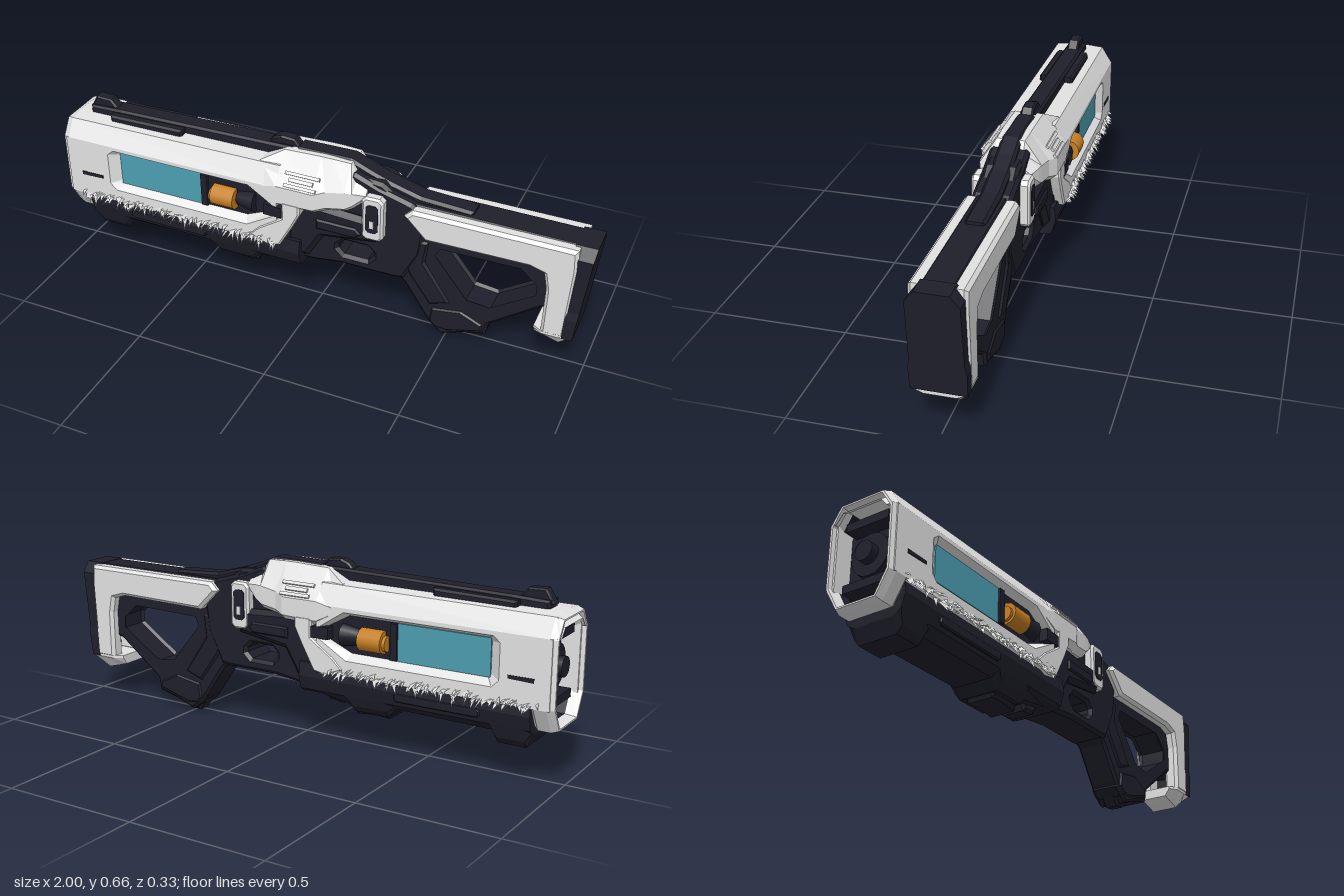
import * as THREE from 'three';

const mat = (name, color, side = THREE.FrontSide) => Object.assign(new THREE.MeshStandardMaterial({ color, side }), { name });

export function createModel() {
  const white = mat('pale shell', 0xe2e2e3, THREE.DoubleSide);
  const dark = mat('dark metal', 0x1f1f2b, THREE.DoubleSide);
  const teal = mat('teal glass', 0x4c9eb1);
  const orange = mat('orange cell', 0xc88022);
  const root = new THREE.Group();
  root.name = 'rifle';

  const add = (name, geo, m) => {
    const mesh = new THREE.Mesh(geo, m);
    mesh.name = name;
    root.add(mesh);
    return mesh;
  };
  const vecs = (pts) => pts.map(([a, b]) => new THREE.Vector2(a, b));

  // side profile (x, y) extruded from z0 to z1, bevelled inside its outline
  const slab = (name, m, pts, z0, z1, bevel = 0, holes = []) => {
    const shape = new THREE.Shape(vecs(pts));
    shape.holes = holes.map((h) => new THREE.Path(vecs(h)));
    const geo = new THREE.ExtrudeGeometry(shape, {
      depth: z1 - z0 - 2 * bevel, bevelEnabled: bevel > 0, bevelSize: bevel,
      bevelThickness: bevel, bevelOffset: -bevel, bevelSegments: 1, curveSegments: 6,
    });
    geo.translate(0, 0, z0 + bevel);
    return add(name, geo, m);
  };
  const mid = (name, m, pts, half, bevel, holes) => slab(name, m, pts, -half, half, bevel, holes);
  const pair = (name, m, pts, z0, z1, bevel, holes) => {
    slab(name + 'Left', m, pts, z0, z1, bevel, holes);
    slab(name + 'Right', m, pts, -z1, -z0, bevel, holes);
  };
  const rect = (x0, x1, y0, y1, c = 0) => c
    ? [[x0 + c, y0], [x1 - c, y0], [x1, y0 + c], [x1, y1 - c], [x1 - c, y1], [x0 + c, y1], [x0, y1 - c], [x0, y0 + c]]
    : [[x0, y0], [x1, y0], [x1, y1], [x0, y1]];

  // flat-sided skin through matching 3D loops
  const loft = (name, m, loops, caps = true) => {
    const out = [];
    const n = loops[0].length;
    const tri = (...p) => p.forEach((v) => out.push(...v));
    const centre = (l) => [0, 1, 2].map((k) => l.reduce((s, p) => s + p[k], 0) / n);
    const first = loops[0], last = loops[loops.length - 1];
    for (let i = 0; i < n; i++) {
      const j = (i + 1) % n;
      for (let s = 0; s + 1 < loops.length; s++) {
        const a = loops[s], b = loops[s + 1];
        tri(a[i], a[j], b[j]);
        tri(a[i], b[j], b[i]);
      }
      if (caps) {
        tri(centre(first), first[j], first[i]);
        tri(centre(last), last[i], last[j]);
      }
    }
    const geo = new THREE.BufferGeometry();
    geo.setAttribute('position', new THREE.Float32BufferAttribute(out, 3));
    geo.computeVertexNormals();
    return add(name, geo, m);
  };
  // mirrored cross-section at x from the [z, y] points of the left half, top first
  const section = (x, half) => [
    ...half.map(([z, y]) => [x, y, z]),
    ...half.slice().reverse().map(([z, y]) => [x, y, -z]),
  ];

  // barrel core inside the shell
  loft('barrelCore', dark, [-0.92, -0.08].map((x) => section(x, [[0.06, 0.56], [0.104, 0.5], [0.104, 0.3], [0.07, 0.22]])));

  // pale shell: pierced side walls and a chamfered roof
  const windowOuter = [[-0.81, 0.36], [-0.785, 0.335], [-0.24, 0.335], [-0.13, 0.4], [-0.13, 0.44], [-0.23, 0.505], [-0.785, 0.505], [-0.81, 0.485]];
  const windowInner = [[-0.77, 0.37], [-0.76, 0.358], [-0.25, 0.358], [-0.14, 0.405], [-0.14, 0.435], [-0.24, 0.49], [-0.76, 0.49], [-0.77, 0.478]];
  pair('shellWall', white, [[-0.985, 0.285], [-0.12, 0.28], [-0.12, 0.52], [-0.985, 0.52]], 0.106, 0.135, 0, [windowOuter]);
  for (const s of [1, -1]) {
    const frame = [windowOuter.map(([x, y]) => [x, y, 0.135 * s]), windowInner.map(([x, y]) => [x, y, 0.106 * s])];
    loft('windowFrame', white, s > 0 ? frame : frame.reverse(), false);
  }
  const roof = (y, z, w) => [[0.03, y + 0.006], [z, y], [w, 0.52], [w - 0.02, 0.515], [z - 0.01, y - 0.02]];
  loft('shellRoof', white, [[-1, roof(0.568, 0.085, 0.122)], [-0.975, roof(0.583, 0.095, 0.135)], [-0.12, roof(0.59, 0.095, 0.135)]]
    .map(([x, r]) => section(x, r)), false);

  // octagonal muzzle rim around a dark open mouth
  const oct = (x, k) => section(x, [[0.092, 0.583], [0.135, 0.52], [0.135, 0.285], [0.085, 0.2]]
    .map(([z, y]) => [z * k, 0.392 + (y - 0.392) * (k + (1 - k) * 0.5)]));
  loft('muzzleLining', dark, [oct(-0.905, 0.8), oct(-0.96, 0.8)], false);
  loft('muzzleRim', white, [oct(-0.96, 0.8), oct(-1, 0.86), oct(-1, 0.92), oct(-0.975, 1), oct(-0.93, 1), oct(-0.905, 0.82)], false);
  const disc = (name, r, x0, x1) => add(name, new THREE.CylinderGeometry(r, r, x1 - x0, 20).rotateZ(Math.PI / 2).translate((x0 + x1) / 2, 0.4, 0), dark);
  disc('muzzleBore', 0.075, -0.95, -0.9);
  disc('muzzleNozzle', 0.035, -0.98, -0.9);
  for (const y of [0.29, 0.51]) {
    add('muzzleBrace', new THREE.BoxGeometry(0.05, 0.03, 0.17).translate(-0.945, y, 0), dark);
  }

  // glass, energy cell and markings
  pair('glass', teal, rect(-0.77, -0.43, 0.358, 0.49), 0.104, 0.112);
  for (const s of [1, -1]) {
    const cell = add('energyCell', new THREE.CylinderGeometry(0.041, 0.041, 0.09, 12).rotateZ(Math.PI / 2), orange);
    cell.position.set(-0.335, 0.416, 0.109 * s);
    const cap = add('energyCellCap', new THREE.CylinderGeometry(0.028, 0.028, 0.1, 12).rotateZ(Math.PI / 2), orange);
    cap.position.set(-0.342, 0.412, 0.11 * s);
    const socket = add('cellSocket', new THREE.CylinderGeometry(0.028, 0.042, 0.07, 10).rotateZ(Math.PI / 2), dark);
    socket.position.set(-0.25, 0.42, 0.1 * s);
  }
  pair('cellClamp', dark, rect(-0.43, -0.405, 0.36, 0.488), 0.1, 0.12);
  pair('windowChannel', dark, [[-0.17, 0.4], [-0.1, 0.4], [-0.1, 0.44], [-0.17, 0.445]], 0.1, 0.138);
  pair('shellMark', dark, [[-0.93, 0.37], [-0.84, 0.373], [-0.84, 0.385], [-0.93, 0.385]], 0.132, 0.137);

  // lower forend with a tapering belly
  const belly = (x, bottom) => section(x, [[0.115, 0.3], [0.122, 0.25], [0.108, 0.2], [0.095, Math.min(0.19, bottom + 0.025)], [0.075, bottom]]);
  loft('forend', dark, [belly(-0.915, 0.18), belly(-0.89, 0.13), belly(-0.79, 0.13), belly(-0.77, 0.17), belly(-0.41, 0.175),
    belly(-0.38, 0.14), belly(-0.25, 0.14), belly(-0.22, 0.165), belly(-0.1, 0.185), belly(-0.04, 0.188)]);
  pair('forendRail', dark, rect(-0.74, -0.42, 0.215, 0.25, 0.01), 0.1, 0.122, 0.005);
  mid('forendFoot', dark, [[-0.39, 0.17], [-0.37, 0.125], [-0.32, 0.13], [-0.24, 0.122], [-0.23, 0.17]], 0.06, 0.012);
  mid('forendStep', dark, [[-0.2, 0.2], [-0.18, 0.148], [-0.12, 0.155], [-0.09, 0.2]], 0.05, 0.01);

  // top rail and sights
  mid('topRail', dark, [[-0.93, 0.57], [-0.93, 0.615], [-0.8, 0.62], [-0.1, 0.635], [-0.1, 0.57]], 0.036, 0.008);
  mid('railCover', dark, [[-0.83, 0.57], [-0.83, 0.608], [-0.53, 0.614], [-0.53, 0.57]], 0.065, 0.008);
  mid('frontSight', dark, [[-0.94, 0.6], [-0.91, 0.65], [-0.85, 0.648], [-0.82, 0.615], [-0.82, 0.6]], 0.022, 0.006);
  mid('rearSight', dark, [[-0.22, 0.61], [-0.18, 0.652], [-0.15, 0.663], [-0.1, 0.66], [-0.07, 0.62]], 0.022, 0.006);

  // receiver with trigger opening
  const guardHole = rect(0.09, 0.225, 0.258, 0.318, 0.022);
  mid('receiver', dark, [[-0.2, 0.5], [-0.12, 0.59], [0.15, 0.61], [0.24, 0.575], [0.36, 0.54], [0.42, 0.5], [0.4, 0.34], [0.34, 0.22],
    [0.3, 0.215], [0.1, 0.215], [-0.01, 0.2], [-0.2, 0.2]], 0.07, 0.012, [guardHole]);
  pair('receiverPanel', dark, [[-0.12, 0.24], [-0.02, 0.23], [0.04, 0.33], [0.24, 0.36], [0.24, 0.45], [-0.12, 0.47]], 0.06, 0.1, 0.018);
  pair('receiverRib', dark, [[0.02, 0.37], [0.17, 0.37], [0.19, 0.39], [0.17, 0.41], [0.02, 0.41]], 0.09, 0.108, 0.006);
  mid('topSpine', dark, [[-0.1, 0.6], [-0.08, 0.64], [0.12, 0.643], [0.2, 0.61], [0.27, 0.585], [0.38, 0.555], [0.57, 0.545], [0.57, 0.5], [0.1, 0.5]], 0.036, 0.01);
  mid('spineCollar', dark, [[0.19, 0.5], [0.19, 0.595], [0.25, 0.59], [0.29, 0.56], [0.29, 0.5]], 0.062, 0.012);

  // pale receiver cowl, bulging over the shell
  const cowl = (x, top, z, shoulder, w, low) => section(x, [[z, top], [w, shoulder], [w, low + 0.02], [w - 0.025, low]]);
  loft('receiverCowl', white, [
    cowl(-0.2, 0.592, 0.09, 0.51, 0.134, 0.48), cowl(-0.12, 0.633, 0.052, 0.53, 0.138, 0.44),
    cowl(0.02, 0.638, 0.052, 0.53, 0.138, 0.445), cowl(0.06, 0.638, 0.052, 0.54, 0.118, 0.455),
    cowl(0.13, 0.636, 0.05, 0.55, 0.11, 0.465), cowl(0.155, 0.598, 0.05, 0.55, 0.105, 0.48), cowl(0.2, 0.575, 0.05, 0.545, 0.09, 0.52)]);
  pair('cowlFin', white, [[-0.23, 0.3], [-0.16, 0.27], [-0.11, 0.28], [-0.06, 0.37], [-0.03, 0.43], [-0.03, 0.47], [-0.1, 0.47], [-0.1, 0.4], [-0.19, 0.34]], 0.095, 0.139, 0.006);

  // raised vent lying on the cowl's sloping shoulder
  for (const s of [1, -1]) {
    const vent = new THREE.Group();
    vent.name = 'cowlVent';
    vent.position.set(-0.03, 0.557, 0.117 * s);
    vent.rotation.x = -0.67 * s;
    for (const [name, y, w, h] of [['ventTop', 0.022, 0.13, 0.012], ['ventSlat', 0, 0.09, 0.014], ['ventBottom', -0.022, 0.12, 0.012]]) {
      const bar = new THREE.Mesh(new THREE.BoxGeometry(w, h, 0.014), white);
      bar.name = name;
      bar.position.y = y;
      vent.add(bar);
    }
    root.add(vent);
  }

  // side latch
  pair('latch', white, rect(0.19, 0.27, 0.375, 0.55, 0.015), 0.06, 0.103, 0.008);
  pair('latchInset', dark, rect(0.207, 0.253, 0.41, 0.522, 0.01), 0.098, 0.106);
  pair('latchTab', white, rect(0.222, 0.238, 0.43, 0.46), 0.1, 0.108);

  // grip, strut and stock frame in one loop
  const stockHole = [[0.46, 0.39], [0.76, 0.395], [0.825, 0.335], [0.825, 0.285], [0.66, 0.175], [0.57, 0.185], [0.44, 0.345]];
  mid('stockFrame', dark, [[0.28, 0.5], [0.34, 0.535], [0.96, 0.533], [0.93, 0.25], [0.84, 0.245], [0.66, 0.11], [0.65, 0.06],
    [0.57, 0.04], [0.49, 0.01], [0.45, 0.04], [0.42, 0.08], [0.34, 0.2], [0.28, 0.24]], 0.058, 0.01, [stockHole]);
  mid('gripBase', dark, [[0.43, 0.06], [0.46, 0.03], [0.51, 0.025], [0.65, 0.065], [0.65, 0.11], [0.56, 0.15], [0.44, 0.13]], 0.064, 0.018);
  mid('gripFoot', dark, [[0.45, 0.04], [0.48, 0.0], [0.52, 0.005], [0.56, 0.035], [0.56, 0.07], [0.46, 0.07]], 0.03, 0.008);
  pair('gripPanel', dark, [[0.33, 0.3], [0.36, 0.24], [0.44, 0.13], [0.52, 0.16], [0.42, 0.31], [0.43, 0.4], [0.35, 0.4]], 0.04, 0.066, 0.012);

  // pale stock cheeks, dark butt pad and pale toe
  pair('stockCheek', white, [[0.34, 0.5], [0.37, 0.53], [0.945, 0.53], [0.95, 0.45], [0.935, 0.165],
    [0.85, 0.165], [0.852, 0.35], [0.84, 0.41], [0.79, 0.425], [0.42, 0.42]], 0.036, 0.094, 0.012);
  const pad = [[0.056, 0.535], [0.086, 0.495], [0.088, 0.28], [0.094, 0.25], [0.092, 0.165]];
  loft('buttPad', dark, [section(0.925, pad), section(0, pad).map(([, y, z]) => [0.962 + (y - 0.165) * 0.103, y, z])]);
  const toe = (x, w, bottom) => section(x, [[w, 0.175], [w, 0.165], [0.052, bottom]]);
  loft('buttToe', white, [toe(0.822, 0.07, 0.138), toe(0.855, 0.092, 0.128), toe(0.91, 0.092, 0.113), toe(0.958, 0.088, 0.15)]);

  // ragged fringe of thin blades below the shell walls
  let seed = 7;
  const rnd = () => (seed = (seed * 16807) % 2147483647) / 2147483647;
  const blades = [];
  for (let i = 0; i < 240; i++) {
    const s = i % 2 ? 1 : -1;
    const x = -0.94 + 0.8 * (i / 240) + rnd() * 0.02;
    const y = 0.28 + rnd() * 0.025;
    const w = 0.006 + rnd() * 0.008;
    blades.push(x - s * w, y, 0.128 * s, x + (rnd() - 0.5) * 0.05, y - 0.035 + rnd() * 0.03, (0.142 + rnd() * 0.022) * s,
      x + s * w, y + 0.008, 0.134 * s);
  }
  const fringe = new THREE.BufferGeometry();
  fringe.setAttribute('position', new THREE.Float32BufferAttribute(blades, 3));
  fringe.computeVertexNormals();
  add('shellFringe', fringe, white);

  return root;
}
